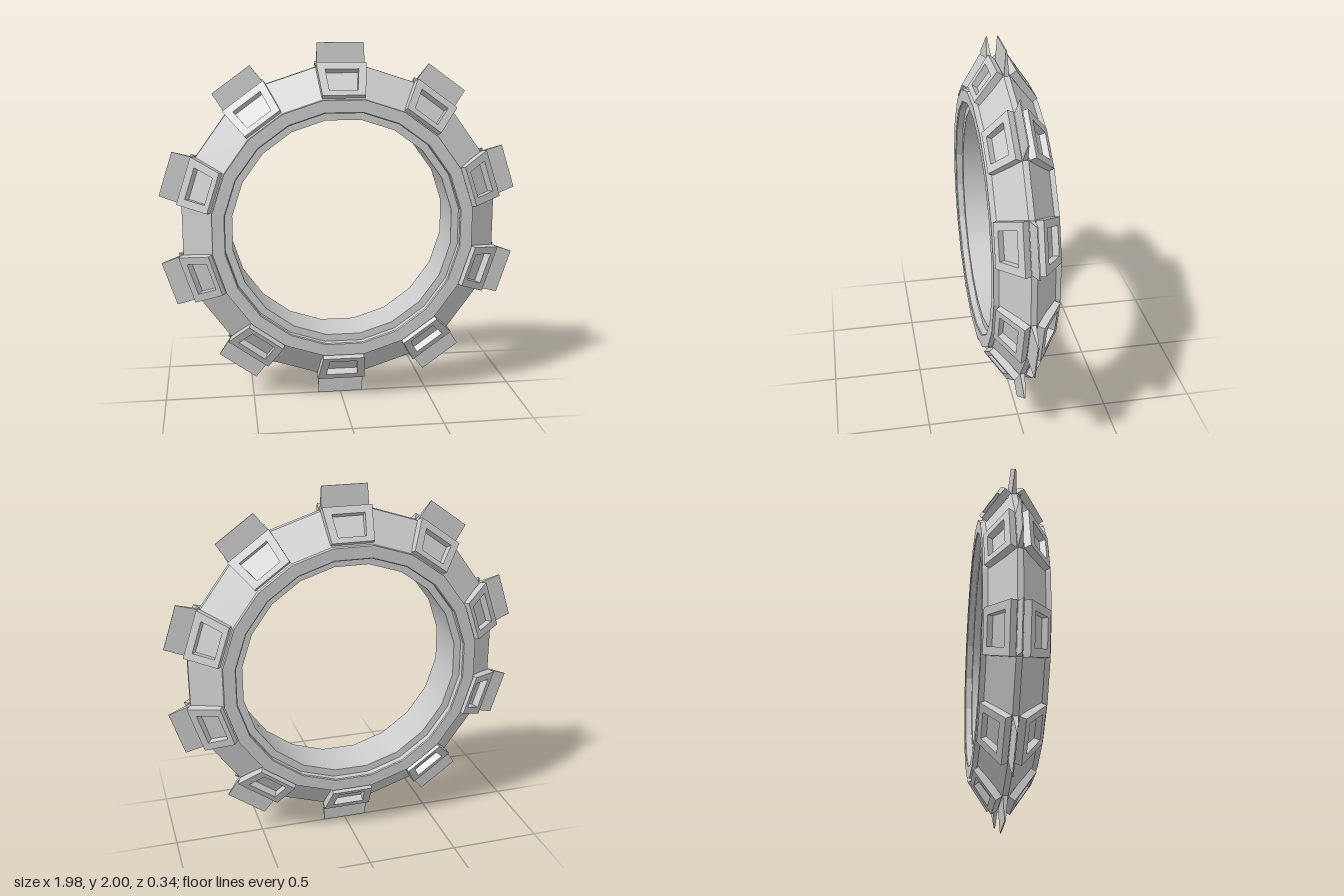
import * as THREE from 'three';

const COUNT = 10;              // fins and plates around the ring
const SIDES = 20;              // flat segments of the ring
const SCALE = 1 / Math.cos(Math.PI / SIDES);

const flat = new THREE.MeshStandardMaterial({ color: 0xcccccc, flatShading: true });
const smooth = new THREE.MeshStandardMaterial({ color: 0xcccccc });

// Revolves a (radius, z) profile round the z axis; radii are measured to the flats
function ringPart(name, profile, material) {
  const points = profile.map(([r, z]) => new THREE.Vector2(r * SCALE, z));
  const geometry = new THREE.LatheGeometry(points, SIDES, Math.PI / SIDES).rotateX(Math.PI / 2);
  const mesh = new THREE.Mesh(geometry, material);
  mesh.name = name;
  return mesh;
}

// Corners of a symmetric trapezoid
function trapezoid(topWidth, bottomWidth, top, bottom) {
  return [[-bottomWidth / 2, bottom], [bottomWidth / 2, bottom], [topWidth / 2, top], [-topWidth / 2, top]]
    .map(([x, y]) => new THREE.Vector2(x, y));
}

// Sloping frame with a window
function plateGeometry() {
  const shape = new THREE.Shape(trapezoid(0.272, 0.23, 0.1, -0.1));
  shape.holes.push(new THREE.Path(trapezoid(0.18, 0.152, 0.058, -0.07).reverse()));
  const geometry = new THREE.ExtrudeGeometry(shape, { depth: 0.04, bevelEnabled: false });
  geometry.translate(0, 0, -0.04);
  geometry.rotateX(-0.61);
  return geometry.translate(0, 0.817, 0.107);
}

// Thin wedge, tapering to its outer edge
function finGeometry() {
  const geometry = new THREE.BoxGeometry(1, 0.24, 1);
  const p = geometry.attributes.position;
  for (let i = 0; i < p.count; i++) {
    const outer = p.getY(i) > 0;
    p.setX(i, p.getX(i) * (outer ? 0.252 : 0.272));
    p.setZ(i, p.getZ(i) * (outer ? 0.006 : 0.044));
  }
  geometry.computeVertexNormals();
  return geometry.translate(0, 0.88, 0);
}

export function createModel() {
  const model = new THREE.Group();
  model.name = 'studdedRing';
  const body = new THREE.Group();
  body.name = 'body';
  body.position.y = 1;
  model.add(body);

  // Faceted outside with a flat collar and a step on each face
  const half = [[0.87, 0.015], [0.71, 0.143], [0.71, 0.17], [0.645, 0.17], [0.64, 0.165], [0.64, 0.13], [0.6, 0.13]];
  const back = half.map(([r, z]) => [r, -z]).reverse();
  body.add(ringPart('ringShell', [...back, ...half], flat));

  // Smooth inner wall
  body.add(ringPart('innerWall', [[0.6, 0.13], [0.6, -0.13]], smooth));

  // Fins, each with a plate on the front and on the back
  const plate = plateGeometry();
  const fin = finGeometry();
  for (let i = 0; i < COUNT; i++) {
    const unit = new THREE.Group();
    unit.name = `stud${i + 1}`;
    unit.rotation.z = (i * Math.PI * 2) / COUNT;

    const finMesh = new THREE.Mesh(fin, flat);
    finMesh.name = 'fin';
    const frontPlate = new THREE.Mesh(plate, flat);
    frontPlate.name = 'frontPlate';
    const backPlate = new THREE.Mesh(plate, flat);
    backPlate.name = 'backPlate';
    backPlate.rotation.y = Math.PI;

    unit.add(finMesh, frontPlate, backPlate);
    body.add(unit);
  }
  return model;
}
